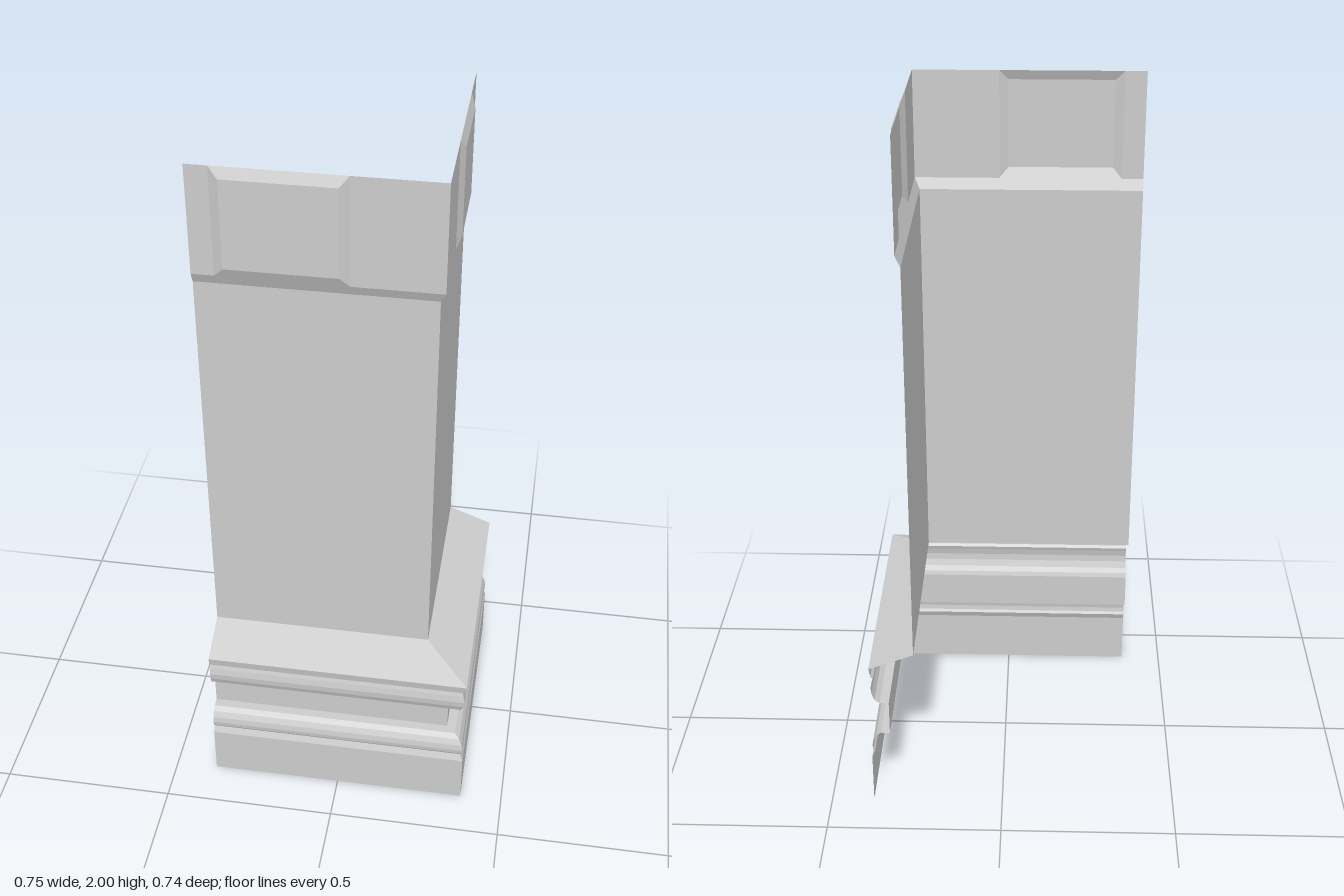
import * as THREE from 'three';

const X0 = 0.249, Z0 = 0.243; // shaft planes of the two walls

// Each wall maps (u along wall, y, d outward) to space; both mitre at the corner.
const walls = [
  { side: 'front', at: (u, y, d) => [u, y, Z0 + d],
    from: () => -0.378, to: d => X0 + d, panel: [-0.318, 0.025] },
  { side: 'left', at: (u, y, d) => [X0 + d, y, -u],
    from: d => -(Z0 + d), to: () => 0.372, panel: [-0.035, 0.245] },
];

// Profiles as [y, outward offset], from the bottom up
const plinth = [[0, 0.128], [0.155, 0.128], [0.175, 0.119]];
const lowerMoulding = [[0.175, 0.119], [0.183, 0.124], [0.197, 0.126], [0.215, 0.123],
  [0.232, 0.114], [0.242, 0.1], [0.242, 0.074]];
const neck = [[0.242, 0.074], [0.347, 0.074]];
const upperMoulding = [[0.347, 0.074], [0.347, 0.1], [0.358, 0.114], [0.378, 0.122],
  [0.398, 0.124], [0.418, 0.12], [0.43, 0.116], [0.437, 0.123], [0.463, 0.128]];
const slope = [[0.463, 0.128], [0.513, 0]];
const shaft = [[0.513, 0], [1.667, 0]];
const capChamfer = [[1.667, 0], [1.697, 0.014]];
const BAND = 0.014, Y0 = 1.697, Y1 = 2;

const material = new THREE.MeshStandardMaterial({
  color: 0xcccccc, flatShading: true, side: THREE.DoubleSide,
});

// Mesh from quads whose corners run counter-clockwise seen from outside
function quadMesh(name, quads) {
  const pos = quads.flatMap(([a, b, c, d]) => [a, b, c, a, c, d]).flat();
  const geo = new THREE.BufferGeometry();
  geo.setAttribute('position', new THREE.Float32BufferAttribute(pos, 3));
  geo.computeVertexNormals();
  const mesh = new THREE.Mesh(geo, material);
  mesh.name = name;
  return mesh;
}

// Profile swept along one wall
function sweep(wall, profile) {
  return profile.slice(1).map(([y1, d1], i) => {
    const [y0, d0] = profile[i];
    return [wall.at(wall.from(d0), y0, d0), wall.at(wall.to(d0), y0, d0),
      wall.at(wall.to(d1), y1, d1), wall.at(wall.from(d1), y1, d1)];
  });
}

// Flat band pieces on either side of the raised panel
function band(wall) {
  const [p0, p1] = wall.panel;
  return [[wall.from(BAND), p0], [p1, wall.to(BAND)]].map(([a, b]) =>
    [[a, Y0], [b, Y0], [b, Y1], [a, Y1]].map(([u, y]) => wall.at(u, y, BAND)));
}

// Bevelled panel standing out from the band
function panel(wall) {
  const [p0, p1] = wall.panel;
  const rect = (inU, inY, d) => [[p0 + inU, Y0 + inY], [p1 - inU, Y0 + inY],
    [p1 - inU, Y1 - inY], [p0 + inU, Y1 - inY]].map(([u, y]) => wall.at(u, y, d));
  const outer = rect(0, 0, BAND), inner = rect(0.025, 0.028, BAND + 0.013);
  const bevels = outer.map((o, i) => {
    const j = (i + 1) % 4;
    return [o, outer[j], inner[j], inner[i]];
  });
  return [inner, ...bevels];
}

export function createModel() {
  const model = new THREE.Group();
  model.name = 'cornerPillar';
  const parts = { plinth, lowerMoulding, neck, upperMoulding, slope, shaft, capChamfer };
  for (const wall of walls) {
    const group = new THREE.Group();
    group.name = wall.side + 'Wall';
    for (const [name, profile] of Object.entries(parts)) {
      group.add(quadMesh(name, sweep(wall, profile)));
    }
    group.add(quadMesh('capBand', band(wall)));
    group.add(quadMesh('capPanel', panel(wall)));
    model.add(group);
  }
  return model;
}
